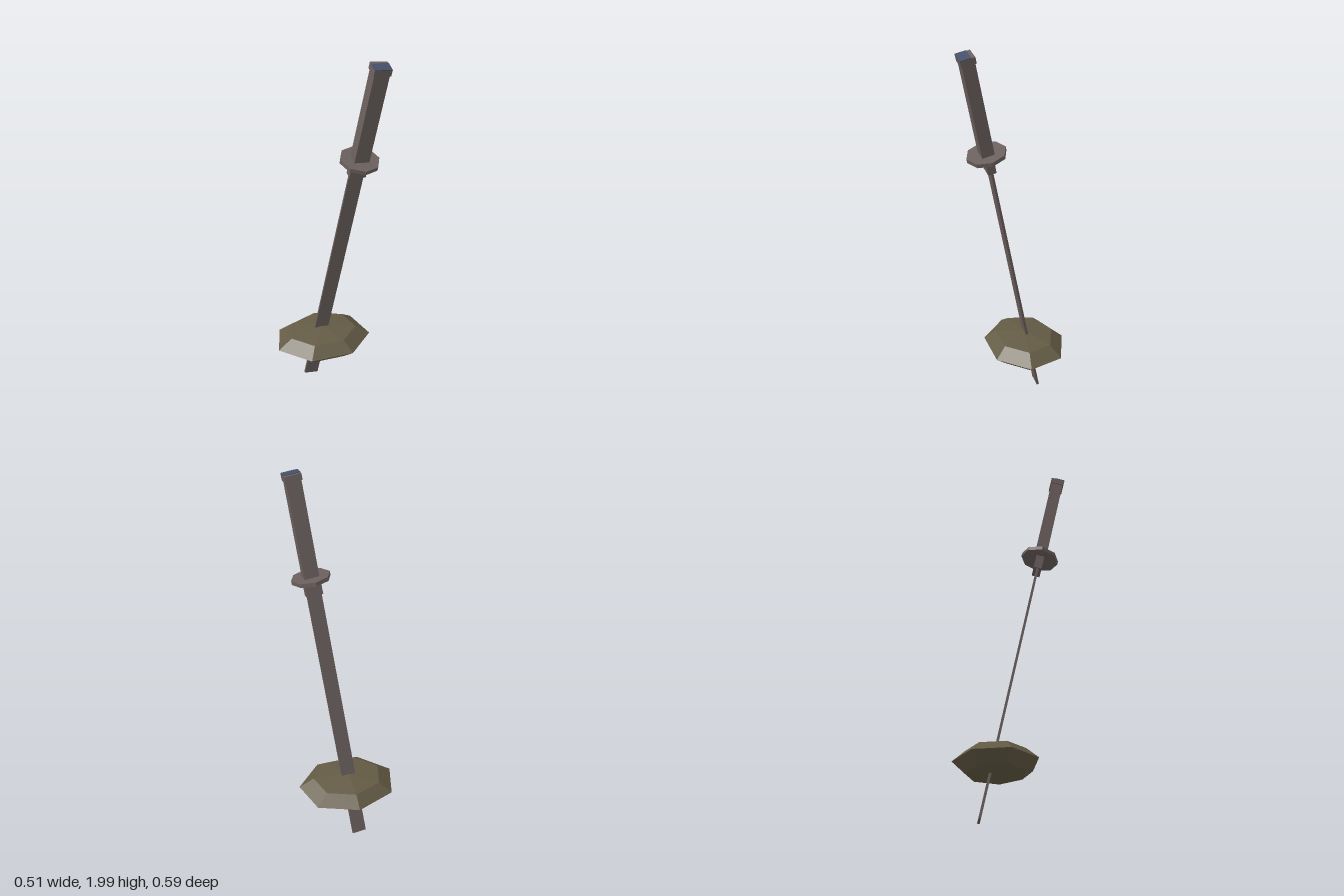
import * as THREE from 'three';

export function createModel() {
  const root = new THREE.Group();
  root.name = 'swordInStone';

  const material = (name, color) => {
    const m = new THREE.MeshStandardMaterial({ color, flatShading: true });
    m.name = name;
    return m;
  };
  const steel = material('warm grey', 0x6b605e);
  const stoneColor = material('olive stone', 0x645b45);
  const blue = material('slate blue', 0x465069);

  const add = (parent, name, geometry, mat) => {
    const mesh = new THREE.Mesh(geometry, mat);
    mesh.name = name;
    parent.add(mesh);
    return mesh;
  };

  // Seven-sided faceted stone
  const stoneGeometry = new THREE.SphereGeometry(1, 7, 4);
  stoneGeometry.rotateY(-Math.PI / 2);
  stoneGeometry.scale(0.26, 0.075, 0.211);
  const stone = add(root, 'stone', stoneGeometry, stoneColor);
  stone.position.set(0, 0.3, -0.086);
  stone.rotation.z = 0.015;

  // Sword group: local y runs from the blade tip up to the pommel
  const tip = new THREE.Vector3(-0.041, 0.008, -0.166);
  const end = new THREE.Vector3(0.169, 1.988, 0.259);
  const axis = end.clone().sub(tip);
  const length = axis.length();
  const sword = new THREE.Group();
  sword.name = 'sword';
  sword.position.copy(tip);
  sword.quaternion.setFromUnitVectors(new THREE.Vector3(0, 1, 0), axis.normalize());
  root.add(sword);

  // Square-section part between two heights along the sword
  const bar = (name, width, depth, from, to, mat = steel, z = 0) => {
    const mesh = add(sword, name, new THREE.BoxGeometry(width, to - from, depth), mat);
    mesh.position.set(0, (from + to) / 2, z);
  };

  bar('blade', 0.074, 0.012, 0, 1.43);
  bar('bladeCollar', 0.083, 0.042, 1.42, 1.5);
  bar('handle', 0.074, 0.062, 1.5, length - 0.02);
  bar('pommel', 0.083, 0.072, length - 0.035, length - 0.003);
  bar('pommelCap', 0.083, 0.054, length - 0.003, length, blue, 0.009);

  // Octagonal guard
  const guard = add(sword, 'guard', new THREE.CylinderGeometry(0.098, 0.098, 0.02, 8), steel);
  guard.position.y = 1.508;

  return root;
}
